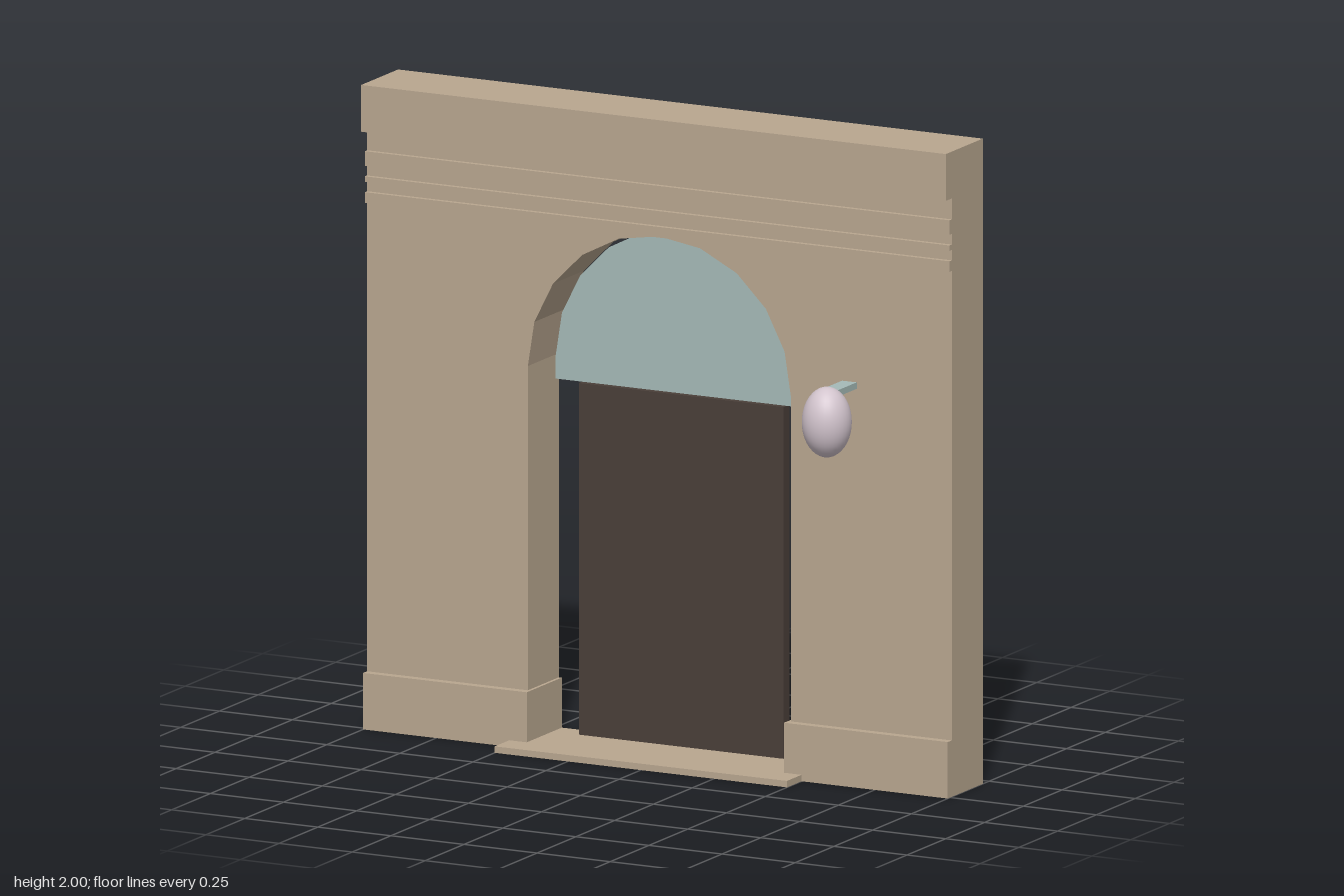
import * as THREE from 'three';

const mat = (name, color, extra = {}) => {
  const m = new THREE.MeshStandardMaterial({ color, ...extra });
  m.name = name;
  return m;
};

export function createModel() {
  const group = new THREE.Group();
  const stone = mat('sandstone', 0xb8a68f);
  const wood = mat('darkWood', 0x4a3f39);
  const glass = mat('paleGreen', 0xa5bab7, { side: THREE.DoubleSide });
  const globe = mat('lampGlobe', 0xd2c4cd);
  const BACK = -0.21, FACE = -0.01, SPRING = 1.18;

  const add = (name, geometry, material) => {
    const mesh = new THREE.Mesh(geometry, material);
    mesh.name = name;
    group.add(mesh);
    return mesh;
  };
  // Box given by its extents on each axis
  const box = (name, material, [x0, x1], [y0, y1], [z0, z1]) => {
    const mesh = add(name, new THREE.BoxGeometry(x1 - x0, y1 - y0, z1 - z0), material);
    mesh.position.set((x0 + x1) / 2, (y0 + y1) / 2, (z0 + z1) / 2);
    return mesh;
  };
  // Round arch in ten straight pieces, from right to left over the top
  const arch = (radius, bottom) => {
    const pts = [new THREE.Vector2(radius, bottom)];
    for (let i = 0; i <= 10; i++) {
      const a = (i / 10) * Math.PI;
      pts.push(new THREE.Vector2(radius * Math.cos(a), SPRING + radius * Math.sin(a)));
    }
    pts.push(new THREE.Vector2(-radius, bottom));
    return pts;
  };

  // Wall with arched opening
  const outline = new THREE.Shape([
    new THREE.Vector2(-1, 0), ...arch(0.45, 0).reverse(),
    new THREE.Vector2(1, 0), new THREE.Vector2(1, 2), new THREE.Vector2(-1, 2),
  ]);
  const wallGeo = new THREE.ExtrudeGeometry(outline, { depth: FACE - BACK, bevelEnabled: false });
  add('wall', wallGeo, stone).position.z = BACK;

  // Cornice and string courses
  box('cornice', stone, [-1, 1], [1.855, 2], [BACK, 0.028]);
  [[1.745, 1.79], [1.695, 1.712], [1.63, 1.663]].forEach((y, i) =>
    box('stringCourse' + (i + 1), stone, [-1, 1], y, [FACE - 0.02, 0.005]));

  // Plinths and doorstep
  box('leftPlinth', stone, [0.44, 1], [0, 0.175], [BACK, 0.016]);
  box('rightPlinth', stone, [-1, -0.44], [0, 0.175], [BACK, 0.016]);
  box('doorstep', stone, [-0.5, 0.5], [0, 0.02], [BACK, 0.11]);

  // Door and fanlight
  box('door', wood, [-0.35, 0.35], [0.001, 1.11], [-0.19, -0.15]);
  add('fanlight', new THREE.ShapeGeometry(new THREE.Shape(arch(0.44, 1.11))), glass).position.z = -0.17;

  // Wall lamp
  box('lampBracket', glass, [0.625, 0.675], [1.23, 1.25], [FACE, 0.11]);
  const lamp = add('lampGlobe', new THREE.SphereGeometry(0.076, 32, 20), globe);
  lamp.scale.y = 1.43;
  lamp.position.set(0.65, 1.154, 0.136);

  return group;
}
